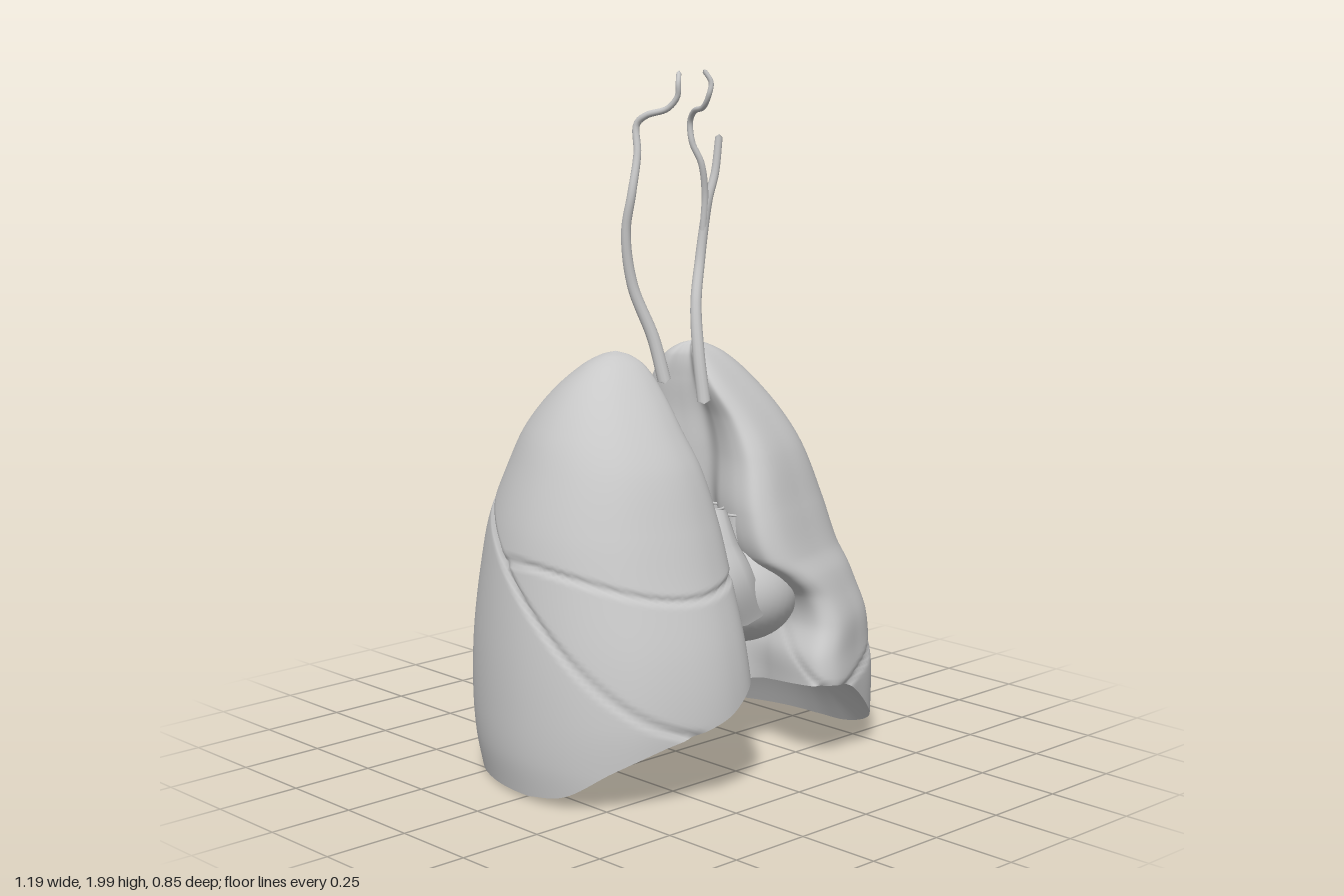
import * as THREE from 'three';

const tissue = new THREE.MeshStandardMaterial({ color: 0xc8c8c8, side: THREE.DoubleSide });
tissue.name = 'grey tissue';
const TOP = 1.21;

// Lung extents per height: y, medial back, medial front, lateral, back z, front z
const LEFT = [
  [0, .10, .17, .575, -.37, .42], [.12, .09, .17, .59, -.395, .42],
  [.25, .09, .17, .592, -.415, .422], [.33, .09, .175, .59, -.418, .41],
  [.42, .09, .215, .58, -.42, .39], [.5, .09, .20, .565, -.415, .36],
  [.56, .09, .14, .555, -.412, .345], [.62, .09, .068, .545, -.405, .32],
  [.75, .085, .055, .515, -.385, .275], [.9, .085, .09, .46, -.34, .215],
  [1, .085, .10, .41, -.30, .15], [1.1, .08, .085, .335, -.235, .07],
  [1.17, .09, .10, .255, -.17, 0], [1.2, .12, .125, .195, -.125, -.05],
  [TOP, .15, .15, .15, -.09, -.09],
];
const RIGHT = [
  [0, .05, .04, .585, -.37, .42], [.12, .04, .035, .60, -.395, .42],
  [.25, .03, .03, .597, -.415, .422], [.42, .03, .03, .58, -.42, .39],
  [.62, .03, .03, .547, -.405, .32], [.75, .04, .035, .517, -.385, .275],
  [.9, .05, .055, .46, -.34, .215], [1, .07, .075, .41, -.30, .15],
  [1.1, .08, .085, .335, -.235, .07], [1.17, .09, .10, .255, -.17, 0],
  [1.2, .12, .125, .195, -.125, -.05], [TOP, .15, .15, .15, -.09, -.09],
];
// Height of the lower rim by plan angle: 0 lateral, 90 front, 180 medial, 270 back
const LEFT_RIM = [
  [0, .01], [20, .02], [45, .065], [70, .13], [95, .2], [115, .245], [140, .25],
  [180, .17], [215, .08], [250, .025], [290, .015], [360, .01],
];
const RIGHT_RIM = [
  [0, .02], [20, .045], [45, .13], [70, .19], [95, .225], [115, .26], [140, .34],
  [180, .34], [215, .13], [250, .03], [290, .015], [360, .02],
];
// Plan outlines: u runs medial to lateral, v runs back to front; the medial part differs per lung
const outline = (medial) => new THREE.CatmullRomCurve3([
  [.53, 0], [.79, .08], [.95, .28], [1, .5], [.94, .71], [.77, .88], ...medial,
].map(([u, v]) => new THREE.Vector3(u, v, 0)), true);
const LEFT_PLAN = outline([[.45, .965], [.14, 1], [.03, .96], [.02, .87], [.07, .73], [.17, .58], [.1, .46], [0, .34], [.01, .2], [.08, .1], [.27, .03]]);
const RIGHT_PLAN = outline([[.5, .98], [.25, 1], [.06, .95], [0, .83], [.04, .7], [.18, .57], [.13, .42], [.02, .29], [.12, .16], [.29, .045]]);

// Smooth interpolation through a table keyed by its first column
function sample(rows, y) {
  let i = 0;
  while (i < rows.length - 2 && y > rows[i + 1][0]) i++;
  const a = rows[i], b = rows[i + 1], h = b[0] - a[0], t = (y - a[0]) / h;
  const p = rows[Math.max(i - 1, 0)], n = rows[Math.min(i + 2, rows.length - 1)];
  return a.map((_, k) => {
    const m0 = (b[k] - p[k]) / (b[0] - p[0]) * h, m1 = (n[k] - a[k]) / (n[0] - a[0]) * h;
    const t2 = t * t, t3 = t2 * t;
    return (2 * t3 - 3 * t2 + 1) * a[k] + (t3 - 2 * t2 + t) * m0 + (3 * t2 - 2 * t3) * b[k] + (t3 - t2) * m1;
  });
}

// Surface of closed rings: point(i, j) for ring i and position j
function ringSurface(rings, sides, point, flip) {
  const pos = [], idx = [];
  for (let i = 0; i <= rings; i++) for (let j = 0; j < sides; j++) pos.push(...point(i, j));
  for (let i = 0; i < rings; i++) for (let j = 0; j < sides; j++) {
    const k = (j + 1) % sides, a = i * sides + j, b = i * sides + k, c = a + sides, d = b + sides;
    if (flip) idx.push(a, b, c, b, d, c);
    else idx.push(a, c, b, b, c, d);
  }
  const g = new THREE.BufferGeometry();
  g.setAttribute('position', new THREE.Float32BufferAttribute(pos, 3));
  g.setIndex(idx);
  g.computeVertexNormals();
  return g;
}

function add(parent, name, geometry) {
  const m = new THREE.Mesh(geometry, tissue);
  m.name = name;
  parent.add(m);
  return m;
}

function makeLung(name, side, rows, rimRows, planCurve, fissures) {
  const lung = new THREE.Group();
  lung.name = name;
  const RINGS = 140, SIDES = 160, CAP = 16;
  const plan = Array.from({ length: SIDES }, (_, j) => planCurve.getPoint(j / SIDES));
  const rim = plan.map((p) => {
    const deg = THREE.MathUtils.radToDeg(Math.atan2(p.y - .5, p.x - .5));
    return sample(rimRows, (deg + 360) % 360)[1];
  });
  const wall = (p, y) => {
    const [, mb, mf, lat, zb, zf] = sample(rows, y);
    const med = THREE.MathUtils.lerp(mb, mf, THREE.MathUtils.smoothstep(p.y, .48, .72));
    let x = med + (lat - med) * p.x, z = zb + (zf - zb) * p.y;
    // Press narrow grooves where the lobes meet
    const cx = (mb + lat) / 2, cz = (zb + zf) / 2, r = Math.hypot(x - cx, z - cz) || 1;
    const depth = Math.min(.011, r * .3) * Math.min(1, fissures(x, y, z));
    x -= (x - cx) / r * depth;
    z -= (z - cz) / r * depth;
    return [side * x, y, z];
  };
  add(lung, name + 'Lobes', ringSurface(RINGS, SIDES, (i, j) =>
    wall(plan[j], rim[j] + (TOP - rim[j]) * Math.sin(i / RINGS * Math.PI / 2)), side < 0));
  // Hollow underside
  add(lung, name + 'Base', ringSurface(CAP, SIDES, (i, j) => {
    const s = 1 - i / CAP, [x, y, z] = wall(plan[j], rim[j]), cx = side * .33;
    return [cx + (x - cx) * s, y + (.29 - y) * (1 - s * s), z * s];
  }, side > 0));
  return lung;
}

const groove = (d) => Math.exp(-((d / .008) ** 2));
const leftFissures = (x, y, z) => groove((y - .57 + .78 * z) * .79);
const rightFissures = (x, y, z) => {
  const oblique = (y - .54 + .79 * z) * .79;
  const horizontal = oblique > 0 ? groove(y - .575 - (x - .25) ** 2) : 0;
  return groove(oblique) + horizontal;
};

// Tapering vessel with closed ends
function vessel(points, r0, r1) {
  const curve = new THREE.CatmullRomCurve3(points.map((p) => new THREE.Vector3(...p)));
  const seg = 90, sides = 12, g = new THREE.TubeGeometry(curve, seg, 1, sides);
  const pos = g.attributes.position, v = new THREE.Vector3();
  for (let i = 0; i <= seg; i++) {
    const c = curve.getPointAt(i / seg);
    const r = i === 0 || i === seg ? .0005 : r0 + (r1 - r0) * i / seg;
    for (let j = 0; j <= sides; j++) {
      const k = i * (sides + 1) + j;
      v.fromBufferAttribute(pos, k).sub(c).multiplyScalar(r).add(c);
      pos.setXYZ(k, v.x, v.y, v.z);
    }
  }
  return g;
}

function ellipsoid(parent, name, center, radii, tilt) {
  const m = add(parent, name, new THREE.SphereGeometry(1, 40, 28));
  m.position.set(...center);
  m.scale.set(...radii);
  m.rotation.z = tilt;
}

export function createModel() {
  const model = new THREE.Group();
  model.name = 'lungsAndHeart';
  model.add(makeLung('leftLung', 1, LEFT, LEFT_RIM, LEFT_PLAN, leftFissures));
  model.add(makeLung('rightLung', -1, RIGHT, RIGHT_RIM, RIGHT_PLAN, rightFissures));

  // Heart chambers
  const heart = new THREE.Group();
  heart.name = 'heart';
  ellipsoid(heart, 'ventricles', [.125, .505, .11], [.19, .155, .19], -.25);
  ellipsoid(heart, 'atria', [.03, .57, -.07], [.125, .14, .118], 0);
  add(heart, 'outflowTract', vessel([[.06, .47, .19], [.015, .57, .2], [.01, .65, .17], [.03, .75, .13]], .1, .035));

  // Open vessel roots with rims and valve leaflets
  [['aorticRoot', .06, .75, .07, .05], ['venousRoot', -.015, .8, .035, .032],
    ['pulmonaryRoot', .09, .74, .16, .032]].forEach(([name, x, y, z, r]) => {
    const root = new THREE.Group();
    root.name = name;
    root.position.set(x, y, z);
    add(root, name + 'Wall', new THREE.CylinderGeometry(r, r * 1.1, .18, 28, 1, true)).position.y = -.09;
    add(root, name + 'Rim', new THREE.TorusGeometry(r, .004, 8, 28)).rotation.x = Math.PI / 2;
    for (let i = 0; i < 3; i++) {
      const a = i * Math.PI * 2 / 3 + .4;
      const leaf = add(root, name + 'Leaflet', new THREE.BoxGeometry(r, .03, .005));
      leaf.position.set(Math.cos(a) * r / 2, -.03, -Math.sin(a) * r / 2);
      leaf.rotation.y = a;
    }
    heart.add(root);
  });
  model.add(heart);

  // Neck arteries
  add(model, 'rightNeckArtery', vessel([
    [-.07, 1.12, .03], [-.088, 1.25, 0], [-.13, 1.4, -.04], [-.15, 1.55, -.045], [-.143, 1.66, -.028],
    [-.115, 1.77, -.035], [-.105, 1.85, -.048], [-.095, 1.875, -.02], [-.07, 1.895, .04],
    [-.06, 1.93, .07], [-.062, 1.965, .075], [-.045, 2, .06]], .02, .007));
  add(model, 'leftNeckArtery', vessel([
    [.075, 1.045, .04], [.08, 1.2, .01], [.1, 1.33, -.02], [.14, 1.45, -.045], [.157, 1.55, -.045],
    [.165, 1.63, -.035], [.185, 1.7, -.03], [.2, 1.81, -.028]], .02, .011));
  add(model, 'leftArteryBranch', vessel([
    [.152, 1.53, -.045], [.15, 1.64, -.035], [.13, 1.73, -.03], [.108, 1.79, -.045], [.103, 1.85, -.048],
    [.092, 1.88, -.02], [.07, 1.895, .04], [.062, 1.93, .07], [.065, 1.965, .075], [.05, 2, .06]], .011, .007));
  return model;
}
